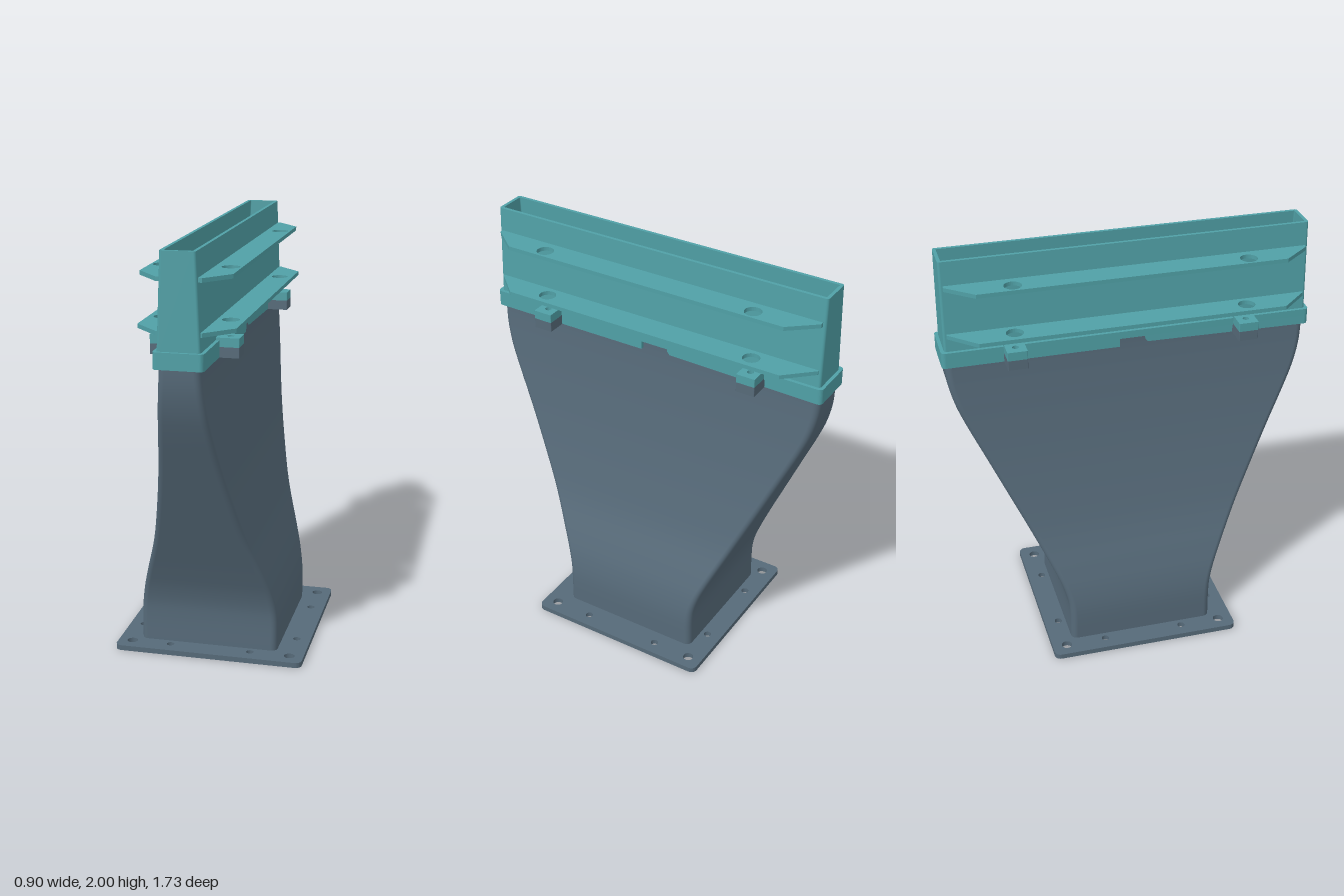
import * as THREE from 'three';
import { mergeGeometries } from 'three/addons/utils/BufferGeometryUtils.js';

const CX = -0.016; // the duct sits slightly off the plate's centre

// Rounded rectangle ring at height y, running from +x towards +z
function ring(hx, hz, r, y) {
  const pts = [];
  const corners = [[1, 1], [-1, 1], [-1, -1], [1, -1]];
  corners.forEach(([sx, sz], k) => {
    for (let i = 0; i <= 6; i++) {
      const a = (k + i / 6) * Math.PI / 2;
      pts.push([sx * (hx - r) + r * Math.cos(a), y, sz * (hz - r) + r * Math.sin(a)]);
    }
  });
  return pts;
}

// Smooth skin over a list of rings
function skin(rows) {
  const n = rows[0].length, index = [];
  for (let j = 0; j < rows.length - 1; j++) {
    for (let i = 0; i < n; i++) {
      const a = j * n + i, b = j * n + (i + 1) % n;
      index.push(a, a + n, b, b, a + n, b + n);
    }
  }
  const g = new THREE.BufferGeometry();
  g.setAttribute('position', new THREE.Float32BufferAttribute(rows.flat(2), 3));
  g.setIndex(index);
  g.computeVertexNormals();
  return g;
}

// Hollow walled loft through sections (x = half width, y = height, z = half depth)
function hollow(sections, r, wall) {
  const outer = sections.map(s => ring(s.x, s.z, r, s.y));
  const inner = sections.map(s => ring(s.x - wall, s.z - wall, Math.max(r - wall, 0.004), s.y)).reverse();
  const last = outer.length - 1;
  return mergeGeometries([
    skin(outer), skin([outer[last], inner[0]]), skin(inner), skin([inner[last], outer[0]]),
  ]);
}

// Outline in plan, extruded from y0 to y1 (outline y becomes -z)
function slab(shape, y0, y1) {
  const g = new THREE.ExtrudeGeometry(shape, { depth: y1 - y0, bevelEnabled: false, curveSegments: 16 });
  return g.rotateX(-Math.PI / 2).translate(0, y0, 0);
}

function roundRect(hx, hz, r, cx = 0, cz = 0) {
  return new THREE.Shape(ring(hx, hz, r, 0).map(p => new THREE.Vector2(p[0] + cx, p[2] + cz)));
}

function addHole(shape, x, z, r) {
  shape.holes.push(new THREE.Path().absarc(x, z, r, 0, Math.PI * 2, true));
}

export function createModel() {
  const slate = new THREE.MeshStandardMaterial({ color: 0x566a79 });
  slate.name = 'slate';
  const teal = new THREE.MeshStandardMaterial({ color: 0x50a0a6 });
  teal.name = 'teal';

  const model = new THREE.Group();
  const upper = new THREE.Group();
  upper.name = 'ductAssembly';
  upper.position.x = CX;
  model.add(upper);
  const add = (parent, name, geometry, material) => {
    const mesh = new THREE.Mesh(geometry, material);
    mesh.name = name;
    parent.add(mesh);
    return mesh;
  };

  // Mounting plate with bolt holes and duct opening
  const plate = roundRect(0.452, 0.46, 0.03);
  plate.holes.push(roundRect(0.316, 0.338, 0.014, CX));
  for (const sx of [-1, 1]) for (const sz of [-1, 1]) {
    addHole(plate, sx * 0.385, sz * 0.39, 0.025);
    addHole(plate, sx * 0.385, sz * 0.195, 0.018);
    addHole(plate, sx * 0.195, sz * 0.39, 0.018);
  }
  add(model, 'mountingPlate', slab(plate, 0, 0.025), slate);

  // Duct: square at the foot, narrow and wide at the top
  const profile = [
    [0.332, 0.02, 0.354], [0.332, 0.16, 0.354], [0.326, 0.23, 0.36], [0.311, 0.31, 0.381],
    [0.286, 0.4, 0.417], [0.225, 0.6, 0.507], [0.182, 0.8, 0.599], [0.147, 1.0, 0.69],
    [0.12, 1.2, 0.78], [0.109, 1.3, 0.818], [0.099, 1.4, 0.842], [0.0925, 1.5, 0.85], [0.0925, 1.57, 0.85],
  ].map(p => new THREE.Vector3(...p));
  const sections = new THREE.CatmullRomCurve3(profile).getPoints(60);
  add(upper, 'duct', hollow(sections, 0.03, 0.016), slate);

  // Tapered nozzle
  const nozzle = [new THREE.Vector3(0.096, 1.57, 0.85), new THREE.Vector3(0.078, 2, 0.85)];
  add(upper, 'nozzle', hollow(nozzle, 0.012, 0.0155), teal);

  // Collar: full ring above, two U-shaped halves below that leave side notches
  const collar = roundRect(0.112, 0.866, 0.02);
  collar.holes.push(roundRect(0.0915, 0.849, 0.02));
  add(upper, 'collarTop', slab(collar, 1.54, 1.575), teal);
  const half = new THREE.Shape();
  half.moveTo(0.112, 0.05);
  half.absarc(0.092, 0.846, 0.02, 0, Math.PI / 2, false);
  half.absarc(-0.092, 0.846, 0.02, Math.PI / 2, Math.PI, false);
  half.lineTo(-0.112, 0.05);
  half.lineTo(-0.0915, 0.05);
  half.absarc(-0.0715, 0.829, 0.02, Math.PI, Math.PI / 2, true);
  half.absarc(0.0715, 0.829, 0.02, Math.PI / 2, 0, true);
  half.lineTo(0.0915, 0.05);
  for (const turn of [0, Math.PI]) {
    add(upper, 'collarHalf', slab(half, 1.5, 1.54), teal).rotation.y = turn;
  }

  // Fins and bolt lugs on both long sides
  const boltX = 0.153, boltZ = 0.54;
  for (const turn of [0, Math.PI]) {
    const side = new THREE.Group();
    side.name = 'sideFittings';
    side.rotation.y = turn;
    upper.add(side);

    for (const [y, root, tip] of [[1.64, 0.085, 0.217], [1.87, 0.075, 0.203]]) {
      const fin = new THREE.Shape([
        [root, -0.835], [0.1, -0.835], [tip, -0.71], [tip, 0.71], [0.1, 0.835], [root, 0.835],
      ].map(p => new THREE.Vector2(...p)));
      for (const sz of [-1, 1]) addHole(fin, boltX, sz * boltZ, 0.04);
      add(side, 'fin', slab(fin, y, y + 0.019), teal);
    }

    for (const sz of [-1, 1]) {
      const block = () => roundRect(0.0525, 0.046, 0.003, 0.1485, sz * boltZ);
      const top = block(), foot = block();
      addHole(top, boltX, sz * boltZ, 0.015);
      addHole(foot, boltX, sz * boltZ, 0.025);
      add(side, 'lugTop', slab(top, 1.546, 1.587), teal);
      add(side, 'lugMiddle', slab(block(), 1.53, 1.546), slate);
      add(side, 'lugFoot', slab(foot, 1.499, 1.53), slate);
    }
  }
  return model;
}
